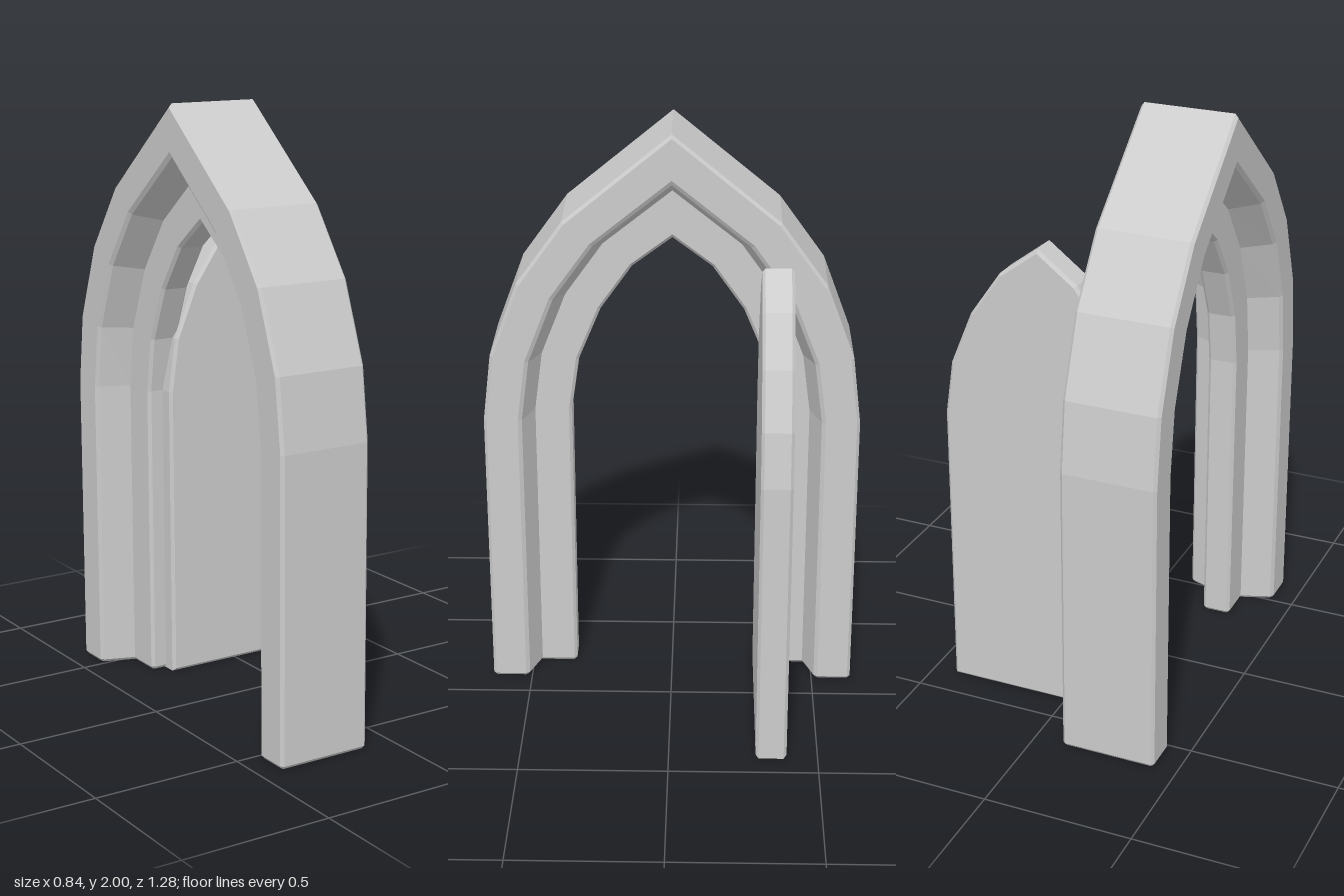
import * as THREE from 'three';

const material = new THREE.MeshStandardMaterial({ color: 0xcccccc, flatShading: true });
const BEVEL = 0.01;
const ARCH_X = -0.262;

// Half profiles of the pointed arch, [half width, height], from foot to apex
const OUTER = [[0.638, 0], [0.638, BEVEL], [0.638, 1], [0.61, 1.235], [0.515, 1.49], [0.36, 1.705], [0, 2]];
const INNER = [[0.345, 0], [0.345, BEVEL], [0.345, 1], [0.318, 1.183], [0.242, 1.365], [0.135, 1.517], [0, 1.618]];
const DEPTH = 0.293;

// T-shaped cross-section, [distance inward, x], with sloped steps on both sides
function archSection() {
  const half = [[0, -0.161], [0.126, -0.161], [0.167, -0.05], [DEPTH, -0.05]];
  const corners = [...half, ...half.map(([u, x]) => [u, -x]).reverse()].map(p => new THREE.Vector2(...p));
  const n = corners.length;
  const out = [];
  corners.forEach((p, i) => {
    const a = corners[(i + n - 1) % n], b = corners[(i + 1) % n];
    const turn = p.clone().sub(a).cross(b.clone().sub(p));
    if (turn < 0) { out.push(p); return; }
    for (const q of [a, b]) out.push(p.clone().add(q.clone().sub(p).setLength(BEVEL)));
  });
  return out;
}

// Move every edge of a counter-clockwise loop inward by d
function inset(loop, d) {
  const n = loop.length;
  const normal = (a, b) => new THREE.Vector2(a.y - b.y, b.x - a.x).normalize();
  return loop.map((p, i) => {
    const n1 = normal(loop[(i + n - 1) % n], p), n2 = normal(p, loop[(i + 1) % n]);
    return n1.clone().add(n2).multiplyScalar(d / (1 + n1.dot(n2))).add(p);
  });
}

// Sweep the section up one leg, over the apex and down the other
function archGeometry() {
  const full = archSection(), foot = inset(full, 0.008);
  const last = OUTER.length - 1;
  const rings = [];
  for (let k = 0; k <= 2 * last; k++) {
    const i = k <= last ? k : 2 * last - k;
    const side = k <= last ? 1 : -1;
    rings.push((i === 0 ? foot : full).map(({ x: u, y: x }) => {
      const t = u / DEPTH;
      return [ARCH_X + x,
        THREE.MathUtils.lerp(OUTER[i][1], INNER[i][1], t),
        side * THREE.MathUtils.lerp(OUTER[i][0], INNER[i][0], t)];
    }));
  }
  const pos = [];
  const tri = (a, b, c) => pos.push(...a, ...b, ...c);
  const n = full.length;
  for (let k = 0; k < rings.length - 1; k++) {
    for (let j = 0; j < n; j++) {
      const a = rings[k][j], b = rings[k][(j + 1) % n];
      const c = rings[k + 1][(j + 1) % n], d = rings[k + 1][j];
      tri(a, d, c);
      tri(a, c, b);
    }
  }
  // Soles of the two feet
  const end = rings[rings.length - 1];
  for (const [a, b, c] of THREE.ShapeUtils.triangulateShape(foot, [])) {
    tri(rings[0][a], rings[0][b], rings[0][c]);
    tri(end[a], end[c], end[b]);
  }
  const geometry = new THREE.BufferGeometry();
  geometry.setAttribute('position', new THREE.Float32BufferAttribute(pos, 3));
  geometry.computeVertexNormals();
  return geometry;
}

// Pointed door leaf matching half the... opening outline, with a small bevel
function doorGeometry() {
  const w = 0.338 / 0.345;
  const right = INNER.filter((_, i) => i !== 1).map(([x, y]) => new THREE.Vector2(x * w, y));
  const left = right.slice(0, -1).reverse().map(p => new THREE.Vector2(-p.x, p.y));
  const thickness = 0.104;
  const geometry = new THREE.ExtrudeGeometry(new THREE.Shape([...right, ...left]), {
    depth: thickness - 2 * BEVEL, bevelEnabled: true, bevelSegments: 1,
    bevelSize: BEVEL, bevelThickness: BEVEL, bevelOffset: -BEVEL,
  });
  geometry.translate(0, 0, BEVEL - thickness / 2);
  return geometry;
}

export function createModel() {
  const group = new THREE.Group();
  group.name = 'archedDoorway';

  const arch = new THREE.Mesh(archGeometry(), material);
  arch.name = 'archFrame';

  // Door stands wide open, square to the frame
  const door = new THREE.Mesh(doorGeometry(), material);
  door.name = 'openDoor';
  door.position.set(0.08, 0, -0.344);

  group.add(arch, door);
  return group;
}
